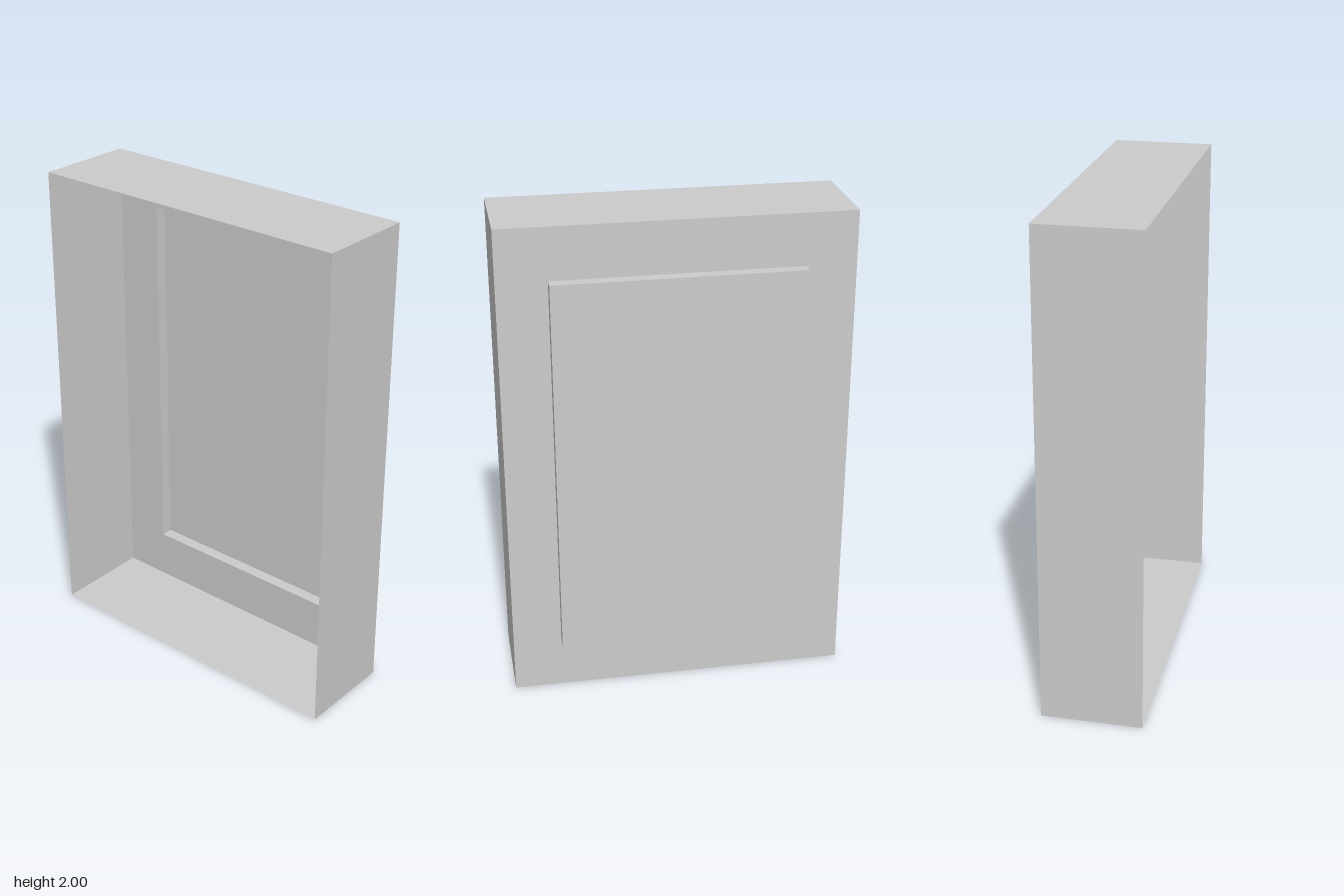
import * as THREE from 'three';

const W = 1.386, H = 2;           // outer case
const w = 0.99, h = 1.58;         // recessed panel
const FRONT = 0.23, STEP = -0.18, BACK = -0.23;

const material = new THREE.MeshStandardMaterial({ color: 0xcccccc, side: THREE.DoubleSide });

function addMesh(parent, geometry, name) {
  const mesh = new THREE.Mesh(geometry, material);
  mesh.name = name;
  parent.add(mesh);
}

// Four thin walls around a rectangle, running from z0 back to z1
function wallRing(width, height, z0, z1, name) {
  const ring = new THREE.Group();
  ring.name = name;
  const depth = z0 - z1;
  const z = (z0 + z1) / 2;
  for (const s of [1, -1]) {
    addMesh(ring, new THREE.PlaneGeometry(depth, height)
      .rotateY(s * Math.PI / 2).translate(s * width / 2, 0, z), s > 0 ? 'leftWall' : 'rightWall');
    addMesh(ring, new THREE.PlaneGeometry(width, depth)
      .rotateX(-s * Math.PI / 2).translate(0, s * height / 2, z), s > 0 ? 'topWall' : 'bottomWall');
  }
  return ring;
}

function rectangle(PathType, width, height) {
  const x = width / 2, y = height / 2;
  return new PathType([[-x, -y], [x, -y], [x, y], [-x, y]].map(p => new THREE.Vector2(...p)));
}

export function createModel() {
  const model = new THREE.Group();
  model.name = 'openCase';

  // Outer case, open at the front
  model.add(wallRing(W, H, FRONT, STEP, 'caseWalls'));

  // Flat border around the recess
  const border = rectangle(THREE.Shape, W, H);
  border.holes.push(rectangle(THREE.Path, w, h));
  addMesh(model, new THREE.ShapeGeometry(border).rotateY(Math.PI).translate(0, 0, STEP), 'backBorder');

  // Shallow recess pushed out of the back
  model.add(wallRing(w, h, STEP, BACK, 'recessWalls'));
  addMesh(model, new THREE.PlaneGeometry(w, h).rotateY(Math.PI).translate(0, 0, BACK), 'backPanel');

  model.position.y = H / 2;
  return model;
}
